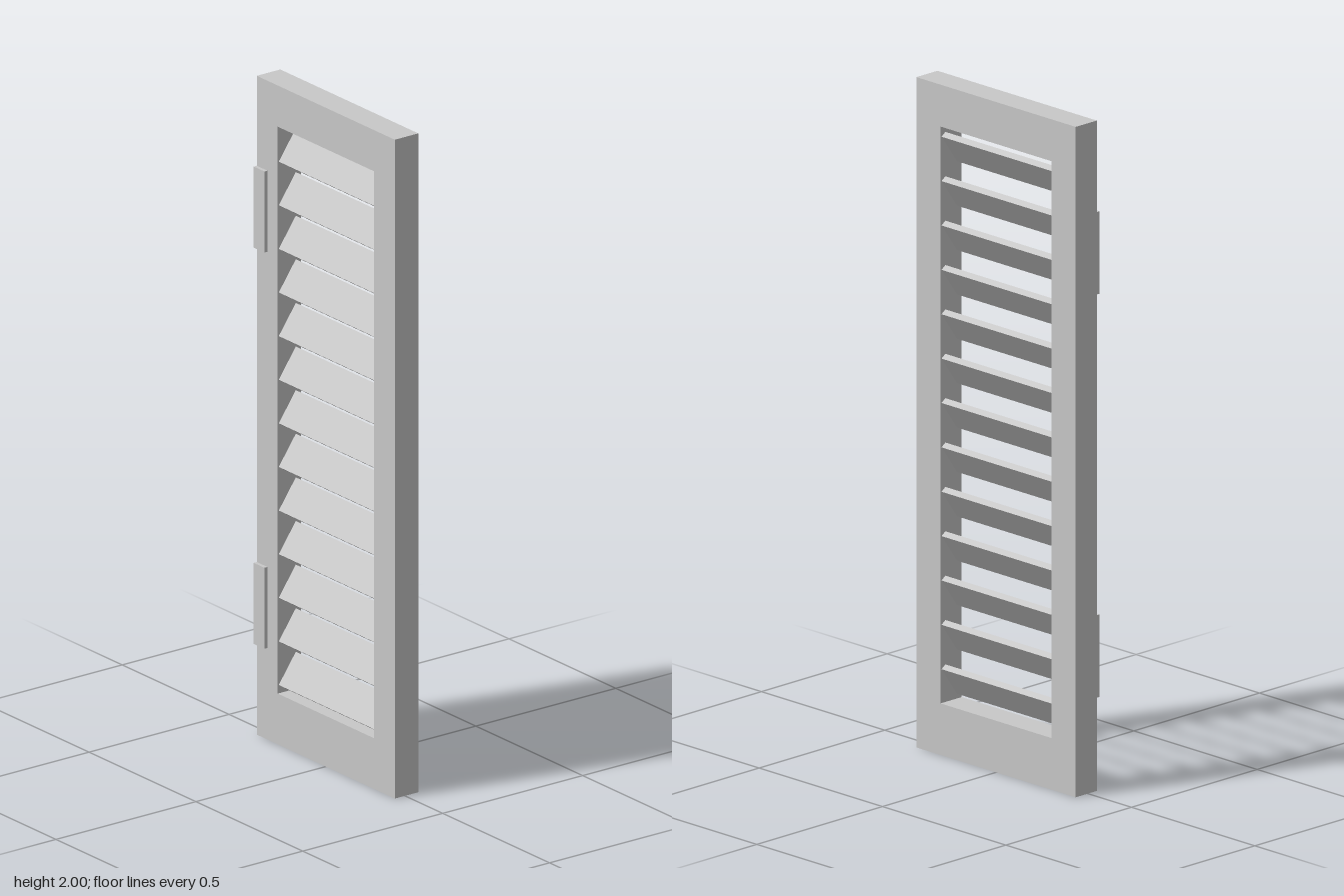
import * as THREE from 'three';

export function createModel() {
  const model = new THREE.Group();
  model.name = 'louveredShutter';
  const paint = new THREE.MeshStandardMaterial({ color: 0xc8c8c8 });
  paint.name = 'light grey paint';

  const halfWidth = 0.323, height = 2;
  const back = -0.048, front = 0.036;
  const openHalf = 0.225, openBottom = 0.154, openTop = 1.875;

  const add = (name, geometry, x, y, z) => {
    const mesh = new THREE.Mesh(geometry, paint);
    mesh.name = name;
    mesh.position.set(x, y, z);
    model.add(mesh);
    return mesh;
  };

  // Frame: one panel with a rectangular opening
  const outline = new THREE.Shape()
    .moveTo(-halfWidth, 0).lineTo(halfWidth, 0)
    .lineTo(halfWidth, height).lineTo(-halfWidth, height).closePath();
  outline.holes.push(new THREE.Path()
    .moveTo(-openHalf, openBottom).lineTo(-openHalf, openTop)
    .lineTo(openHalf, openTop).lineTo(openHalf, openBottom).closePath());
  add('frame', new THREE.ExtrudeGeometry(outline, { depth: front - back, bevelEnabled: false }), 0, 0, back);

  // Slats: evenly spaced, leaning back at the top
  const count = 13, pitch = (openTop - openBottom) / count;
  const slat = new THREE.BoxGeometry(openHalf * 2, 0.106, 0.019);
  for (let i = 0; i < count; i++) {
    const y = openBottom + (i + 0.5) * pitch - 0.003;
    add(`slat${i + 1}`, slat, 0, y, (front + back) / 2).rotation.x = -THREE.MathUtils.degToRad(35);
  }

  // Hinge plates on the front of one stile
  const hinge = new THREE.BoxGeometry(0.05, 0.246, 0.011);
  add('lowerHingePlate', hinge, -halfWidth + 0.025, 0.401, front + 0.0055);
  add('upperHingePlate', hinge, -halfWidth + 0.025, 1.604, front + 0.0055);

  return model;
}
